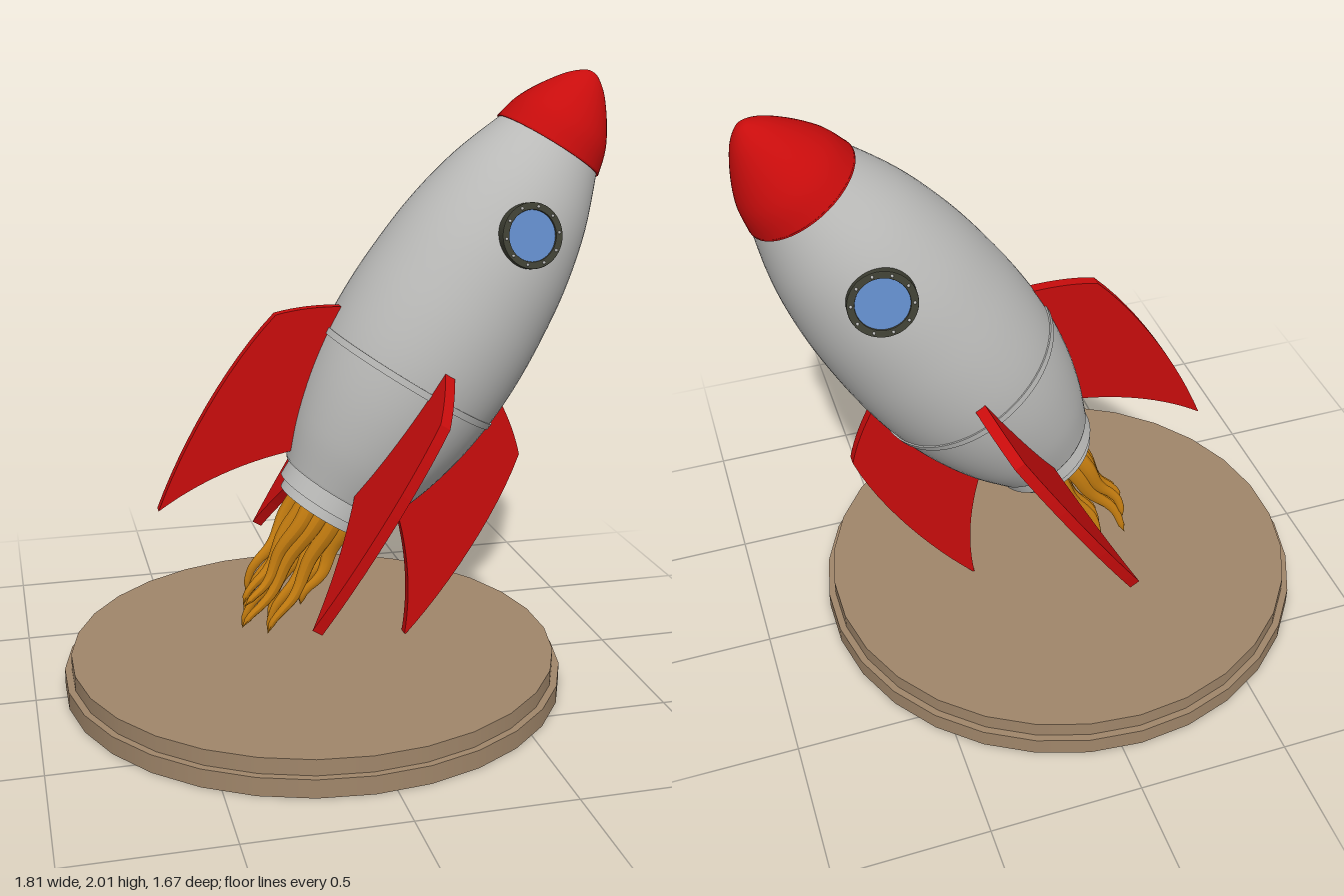
import * as THREE from 'three';

const mat = (name, color) => {
  const m = new THREE.MeshStandardMaterial({ color });
  m.name = name;
  return m;
};
const V2 = (x, y) => new THREE.Vector2(x, y);

export function createModel() {
  const red = mat('red', 0xc80c0c);
  const silver = mat('silver', 0xbcbcba);
  const wood = mat('wood', 0xa0866a);
  const orange = mat('flame orange', 0xc87f10);
  const blue = mat('glass blue', 0x628cca);
  const dark = mat('dark frame', 0x3f4034);

  const model = new THREE.Group();
  const add = (parent, name, geometry, material, x = 0, y = 0, z = 0) => {
    const mesh = new THREE.Mesh(geometry, material);
    mesh.name = name;
    mesh.position.set(x, y, z);
    parent.add(mesh);
    return mesh;
  };

  // Two-step round stand
  add(model, 'standLower', new THREE.CylinderGeometry(0.835, 0.835, 0.06, 30), wood, -0.067, 0.03, 0);
  add(model, 'standUpper', new THREE.CylinderGeometry(0.812, 0.812, 0.052, 30), wood, -0.067, 0.086, 0);

  // Leaning rocket: local y runs along its axis, with 0 at the seam
  const rocket = new THREE.Group();
  rocket.name = 'rocket';
  rocket.position.set(0.254, 1.029, 0);
  rocket.rotation.z = -THREE.MathUtils.degToRad(32.2);
  model.add(rocket);

  // Hull
  const hull = new THREE.SplineCurve([
    V2(0.203, -0.43), V2(0.254, -0.3), V2(0.294, -0.15), V2(0.317, 0), V2(0.324, 0.14),
    V2(0.318, 0.3), V2(0.296, 0.5), V2(0.25, 0.7), V2(0.178, 0.89),
  ]);
  add(rocket, 'hull', new THREE.LatheGeometry(hull.getPoints(40), 64), silver);
  add(rocket, 'hullSeam', new THREE.CylinderGeometry(0.323, 0.321, 0.022, 64), silver);

  // Nose cone
  const nose = new THREE.SplineCurve([
    V2(0.19, 0.878), V2(0.169, 0.955), V2(0.128, 1.03), V2(0.072, 1.105), V2(0.025, 1.144), V2(0, 1.15),
  ]);
  add(rocket, 'noseCone', new THREE.LatheGeometry(nose.getPoints(24), 48), red);
  add(rocket, 'noseBase', new THREE.CylinderGeometry(0.19, 0.19, 0.006, 48), red, 0, 0.878, 0);

  // Nozzle
  add(rocket, 'nozzleCollar', new THREE.CylinderGeometry(0.205, 0.198, 0.014, 48), silver, 0, -0.43, 0);
  add(rocket, 'nozzleRing', new THREE.CylinderGeometry(0.185, 0.185, 0.08, 48), silver, 0, -0.455, 0);
  add(rocket, 'nozzleLip', new THREE.CylinderGeometry(0.165, 0.165, 0.04, 48), silver, 0, -0.51, 0);

  // Four swept fins
  const fin = new THREE.Shape();
  fin.moveTo(0.2, -0.37);
  fin.lineTo(0.215, -0.405);
  fin.quadraticCurveTo(0.40, -0.57, 0.492, -0.782);
  fin.bezierCurveTo(0.535, -0.56, 0.545, -0.26, 0.495, -0.04);
  fin.quadraticCurveTo(0.42, 0.035, 0.31, 0.095);
  fin.lineTo(0.26, 0.05);
  const finGeo = new THREE.ExtrudeGeometry(fin, { depth: 0.036, bevelEnabled: false, curveSegments: 12 });
  finGeo.translate(0, 0, -0.018);
  for (let i = 0; i < 4; i++) add(rocket, 'fin' + (i + 1), finGeo, red).rotation.y = i * Math.PI / 2;

  // Riveted round windows, front and back
  const frame = new THREE.Shape().absarc(0, 0, 0.1, 0, Math.PI * 2);
  frame.holes.push(new THREE.Path().absarc(0, 0, 0.083, 0, Math.PI * 2, true));
  const frameGeo = new THREE.ExtrudeGeometry(frame, {
    depth: 0.042, bevelThickness: 0.003, bevelSize: 0.003, bevelSegments: 2, curveSegments: 32,
  });
  for (const [side, turn] of [['front', 0], ['back', Math.PI]]) {
    const mount = new THREE.Group();
    mount.name = side + 'Window';
    mount.rotation.y = turn;
    const porthole = new THREE.Group();
    porthole.position.set(0, 0.587, 0.278);
    porthole.rotation.x = -0.21;
    mount.add(porthole);
    rocket.add(mount);
    add(porthole, 'windowFrame', frameGeo, dark, 0, 0, -0.029);
    add(porthole, 'windowGlass', new THREE.CircleGeometry(0.085, 40), blue, 0, 0, 0.009);
    for (let i = 0; i < 10; i++) {
      const a = i / 10 * Math.PI * 2;
      add(porthole, 'rivet', new THREE.SphereGeometry(0.005, 8, 6), silver,
        0.091 * Math.cos(a), 0.091 * Math.sin(a), 0.016);
    }
  }

  // Wavy flame tongue: a tube that tapers from a wide root to a thin tip
  const flameTongue = (x0, x1, z0, z1, end, phase) => {
    const pts = [];
    for (let i = 0; i <= 10; i++) {
      const t = i / 10;
      pts.push(new THREE.Vector3(
        x0 + (x1 - x0) * t + 0.016 * t * Math.sin(t * 11 + phase),
        -0.5 + (end + 0.5) * t,
        z0 + (z1 - z0) * t + 0.006 * Math.sin(t * 8 + phase)));
    }
    const path = new THREE.CatmullRomCurve3(pts);
    const rows = 28, sides = 8;
    const geo = new THREE.TubeGeometry(path, rows, 1, sides);
    const pos = geo.attributes.position;
    const p = new THREE.Vector3();
    for (let i = 0; i <= rows; i++) {
      const t = i / rows, c = path.getPointAt(t);
      const w = 0.008 + 0.026 * Math.pow(1 - t, 0.8), d = 0.007 + 0.007 * (1 - t);
      const tip = t > 0.93 ? (1 - t) / 0.07 : 1;
      for (let j = 0; j <= sides; j++) {
        const k = i * (sides + 1) + j;
        p.fromBufferAttribute(pos, k).sub(c);
        pos.setXYZ(k, c.x + p.x * w * tip, c.y + p.y * w * tip, c.z + p.z * d * tip);
      }
    }
    geo.computeVertexNormals();
    return geo;
  };

  // Three sheets of tongues: z at the root, z at the tip, phase
  const flames = new THREE.Group();
  flames.name = 'exhaustFlames';
  rocket.add(flames);
  const tongues = [[-0.075, -0.065, -0.93], [-0.03, -0.035, -1.0], [0.022, 0.05, -0.98], [0.07, 0.09, -0.84]];
  for (const [z0, z1, phase] of [[0.07, 0.05, 0], [0.005, 0.005, 1.3], [-0.085, -0.082, 2.4]]) {
    tongues.forEach(([x0, x1, end], i) => {
      add(flames, 'flameTongue', flameTongue(x0, x1, z0, z1, end + 0.015 * Math.sin(phase * 3), phase + i * 0.5), orange);
    });
  }

  return model;
}
